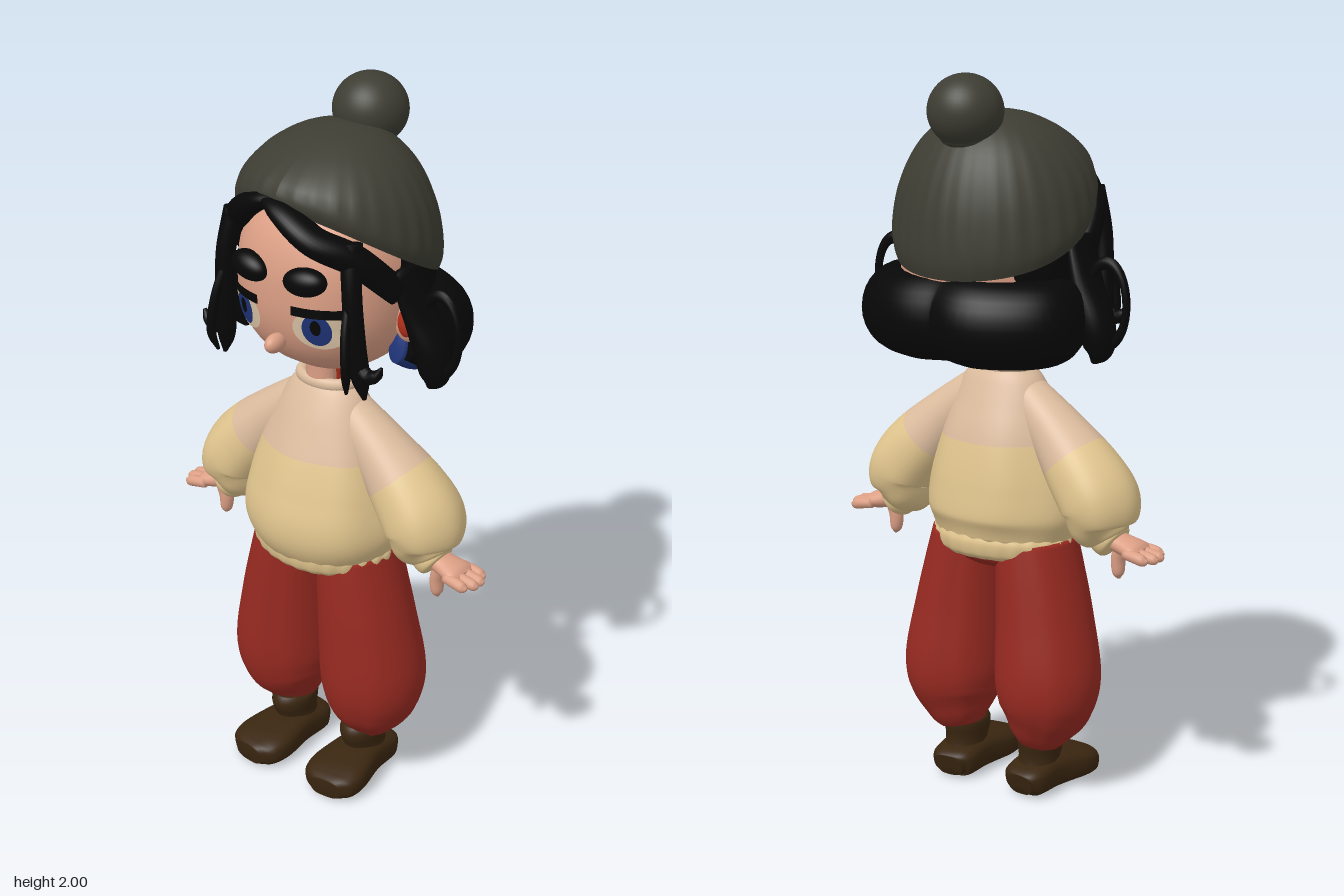
import * as THREE from 'three';

const mat = (name, color, side = THREE.FrontSide) => {
  const m = new THREE.MeshStandardMaterial({ color, side });
  m.name = name;
  return m;
};

export function createModel() {
  const root = new THREE.Group();
  root.name = 'child';
  const hatWool = mat('hat wool', 0x3d3d33, THREE.DoubleSide);
  const hairBlack = mat('hair black', 0x070707);
  const skin = mat('skin', 0xdc9f85);
  const cream = mat('sweater cream', 0xe1c58e);
  const blush = mat('sweater yoke', 0xdcbc9e);
  const red = mat('trouser red', 0x982a21);
  const brown = mat('boot brown', 0x3a2610);
  const blue = mat('deep blue', 0x20357a);
  const coral = mat('coral red', 0xb5301c);
  const eyeWhite = mat('eye white', 0xe0c8aa);

  const add = (name, geo, material, x = 0, y = 0, z = 0) => {
    const mesh = new THREE.Mesh(geo, material);
    mesh.name = name;
    mesh.position.set(x, y, z);
    root.add(mesh);
    return mesh;
  };

  // Smooth body through oval sections [x, y, z, a, b]; a lies across the path and ref.
  // A pair of materials changes over at the fraction "split".
  const sweep = (name, material, pts, { ref = [0, 0, 1], n = 28, steps = 8, pow = 2, split = 1, wave = () => 1 } = {}) => {
    const path = new THREE.CatmullRomCurve3(pts.map(p => new THREE.Vector3(p[0], p[1], p[2])), false, 'catmullrom');
    const size = new THREE.CatmullRomCurve3(pts.map(p => new THREE.Vector3(p[3], p[4], 0)), false, 'catmullrom');
    const rings = (pts.length - 1) * steps, pos = [], idx = [];
    const R = new THREE.Vector3(...ref);
    const sp = v => Math.sign(v) * Math.abs(v) ** (2 / pow);
    for (let i = 0; i <= rings; i++) {
      const t = i / rings, c = path.getPoint(t), r = size.getPoint(t);
      const T = path.getTangent(t), S = T.clone().cross(R).normalize(), B = S.clone().cross(T);
      for (let j = 0; j < n; j++) {
        const f = j / n * Math.PI * 2, w = wave(f, t);
        const p = c.clone().addScaledVector(S, Math.max(r.x, 0.002) * w * sp(Math.cos(f)))
          .addScaledVector(B, Math.max(r.y, 0.002) * w * sp(Math.sin(f)));
        pos.push(p.x, p.y, p.z);
      }
    }
    const first = pos.length / 3, last = first + 1, top = rings * n;
    pos.push(...path.getPoint(0).toArray(), ...path.getPoint(1).toArray());
    for (let j = 0; j < n; j++) idx.push(first, j, (j + 1) % n);
    for (let i = 0; i < rings; i++) for (let j = 0; j < n; j++) {
      const k = (j + 1) % n, a = i * n + j, b = a + n, c = i * n + k, d = c + n;
      idx.push(a, b, c, b, d, c);
    }
    for (let j = 0; j < n; j++) idx.push(last, top + (j + 1) % n, top + j);
    const g = new THREE.BufferGeometry();
    g.setAttribute('position', new THREE.Float32BufferAttribute(pos, 3));
    g.setIndex(idx);
    g.computeVertexNormals();
    if (Array.isArray(material)) {
      const cut = n * 3 + Math.round(rings * split) * n * 6;
      g.addGroup(0, cut, 0);
      g.addGroup(cut, idx.length - cut, 1);
    }
    return add(name, g, material);
  };

  // Ellipsoid, boxier as pow grows
  const blob = (name, material, x, y, z, rx, ry, rz, pow = 2) => {
    const g = new THREE.SphereGeometry(1, 40, 28), p = g.attributes.position, v = new THREE.Vector3();
    for (let i = 0; i < p.count; i++) {
      v.fromBufferAttribute(p, i);
      const k = (Math.abs(v.x) ** pow + Math.abs(v.y) ** pow + Math.abs(v.z) ** pow) ** (-1 / pow);
      p.setXYZ(i, v.x * k * rx, v.y * k * ry, v.z * k * rz);
    }
    g.computeVertexNormals();
    return add(name, g, material, x, y, z);
  };

  // Head, nose, neck and nape
  blob('head', skin, 0, 1.51, 0.01, 0.24, 0.26, 0.25, 2.4);
  blob('nose', skin, 0, 1.378, 0.262, 0.022, 0.026, 0.036);
  sweep('neckBack', coral, [[0, 1.15, 0.045, 0.048, 0.05], [0, 1.23, 0.035, 0.048, 0.055], [0, 1.36, 0.0, 0.09, 0.09]]);
  sweep('neckFront', skin, [[0, 1.15, 0.075, 0.044, 0.035], [0, 1.24, 0.075, 0.044, 0.035], [0, 1.32, 0.08, 0.044, 0.035]]);
  blob('nape', coral, 0, 1.35, -0.06, 0.17, 0.108, 0.13);

  // Thin face details laid over the curve of the head
  const drape = (name, geo, material, x, y, lift) => {
    geo.translate(x, y, 0);
    const p = geo.attributes.position;
    for (let i = 0; i < p.count; i++) {
      const u = Math.abs(p.getX(i) / 0.24) ** 2.4 + Math.abs((p.getY(i) - 1.51) / 0.26) ** 2.4;
      p.setZ(i, 0.01 + 0.25 * Math.max(0, 1 - u) ** (1 / 2.4) + lift);
    }
    geo.computeVertexNormals();
    add(name, geo, material);
  };
  const disc = (rx, ry) => new THREE.CircleGeometry(1, 32).scale(rx, ry, 1);

  for (const s of [1, -1]) {
    // Eyes, brows and ears
    drape('eyeWhite', disc(0.066, 0.055), eyeWhite, s * 0.12, 1.435, 0.006);
    drape('iris', disc(0.036, 0.046), blue, s * 0.118, 1.438, 0.008);
    drape('pupil', disc(0.013, 0.022), hairBlack, s * 0.118, 1.446, 0.0095);
    drape('upperLash', new THREE.PlaneGeometry(0.15, 0.026, 14, 1), hairBlack, s * 0.13, 1.486, 0.0095);
    const brow = blob('eyebrow', hairBlack, s * 0.09, 1.568, 0.25, 0.062, 0.038, 0.036);
    brow.rotation.set(0, s * 0.15, s * 0.12);
    blob('ear', skin, s * 0.25, 1.43, 0.03, 0.04, 0.06, 0.026);
    blob('innerEar', coral, s * 0.255, 1.43, 0.042, 0.025, 0.042, 0.02);

    // Hair hanging at the sides, with wire-thin loops
    sweep('sideLock', hairBlack, [[s * 0.242, 1.58, 0.04, 0.02, 0.06], [s * 0.28, 1.46, 0.02, 0.032, 0.06],
      [s * 0.315, 1.36, 0.01, 0.047, 0.055], [s * 0.325, 1.29, 0.01, 0.04, 0.04], [s * 0.31, 1.25, 0.01, 0.008, 0.01]]);
    const loop = add('hairLoop', new THREE.TorusGeometry(0.08, 0.013, 12, 40), hairBlack, s * 0.343, 1.41, 0.016);
    loop.scale.set(0.75, 1.35, 1);
    sweep('frontLock', hairBlack, [[s * 0.19, 1.68, 0.19, 0.03, 0.03], [s * 0.208, 1.56, 0.21, 0.026, 0.026],
      [s * 0.215, 1.42, 0.205, 0.028, 0.027], [s * 0.225, 1.32, 0.195, 0.026, 0.022], [s * 0.235, 1.26, 0.19, 0.005, 0.006]]);
    sweep('frontWisp', hairBlack, [[s * 0.2, 1.55, 0.21, 0.01, 0.012], [s * 0.215, 1.45, 0.245, 0.012, 0.014],
      [s * 0.225, 1.35, 0.255, 0.012, 0.014], [s * 0.215, 1.29, 0.24, 0.004, 0.005]], { n: 12 });
    sweep('curlTip', hairBlack, [[s * 0.21, 1.37, 0.2, 0.018, 0.018], [s * 0.25, 1.335, 0.2, 0.02, 0.02],
      [s * 0.28, 1.345, 0.2, 0.015, 0.018], [s * 0.296, 1.37, 0.2, 0.004, 0.005]], { n: 12 });
  }

  // Parted fringe under the hat rim
  sweep('fringeRight', hairBlack, [[0, 1.765, 0.22, 0.012, 0.03], [-0.07, 1.745, 0.23, 0.026, 0.035],
    [-0.15, 1.695, 0.205, 0.035, 0.035], [-0.21, 1.63, 0.15, 0.036, 0.035], [-0.245, 1.53, 0.07, 0.022, 0.035]]);
  sweep('fringeLeft', hairBlack, [[-0.045, 1.76, 0.225, 0.012, 0.03], [0.03, 1.735, 0.25, 0.03, 0.045],
    [0.12, 1.685, 0.25, 0.036, 0.045], [0.2, 1.63, 0.18, 0.04, 0.04], [0.25, 1.53, 0.08, 0.025, 0.04]]);

  // Hair over the skull, the roll at the nape and its blue lining
  blob('skullHair', hairBlack, 0, 1.52, -0.025, 0.252, 0.225, 0.205, 2.2);
  const roll = [[-0.25, 1.39, 0.03, 0.03, 0.07], [-0.258, 1.375, -0.05, 0.06, 0.105], [-0.225, 1.365, -0.13, 0.1, 0.115],
    [-0.1, 1.365, -0.2, 0.108, 0.118], [0, 1.37, -0.185, 0.105, 0.118], [0.11, 1.365, -0.188, 0.105, 0.118],
    [0.225, 1.365, -0.13, 0.1, 0.115], [0.258, 1.375, -0.05, 0.06, 0.105], [0.25, 1.39, 0.03, 0.03, 0.07]];
  sweep('hairRoll', hairBlack, roll, { ref: [0, 1, 0] });
  sweep('hairLining', blue, roll.map(([x, y, z, a, b]) => [x * 0.9, y - 0.035, z * 0.8 + 0.02, a * 0.85, b * 0.66]), { ref: [0, 1, 0] });

  // Knitted hat: a ribbed dome whose rim sweeps up to the front
  const dome = [[0.27, 0], [0.279, 0.1], [0.276, 0.25], [0.26, 0.45], [0.226, 0.65], [0.175, 0.82], [0.1, 0.95], [0, 1]];
  const curve = new THREE.SplineCurve(dome.map(p => new THREE.Vector2(...p)));
  const hat = new THREE.LatheGeometry(curve.getPoints(28).map(p => new THREE.Vector2(Math.max(0, p.x), p.y)), 120);
  const hp = hat.attributes.position;
  for (let i = 0; i < hp.count; i++) {
    const x = hp.getX(i), h = hp.getY(i), z = hp.getZ(i) * 0.91;
    const rib = 1 + 0.012 * Math.cos(30 * Math.atan2(x, z)) * (1 - h) * Math.min(1, h * 4);
    const rim = 1.575 + z * 0.54 + z * z * 0.56;
    hp.setXYZ(i, x * rib, 1.9 * h + rim * (1 - h), z * rib - 0.012 * h);
  }
  hat.computeVertexNormals();
  add('hat', hat, hatWool);
  blob('pompomBase', hatWool, 0, 1.84, -0.11, 0.08, 0.05, 0.085);
  blob('pompom', hatWool, 0, 1.903, -0.133, 0.101, 0.097, 0.1);

  // Sweater body with gathered hem and soft folds
  sweep('sweaterBody', [cream, blush], [[0, 0.725, 0.055, 0.205, 0.162], [0, 0.8, 0.06, 0.232, 0.19], [0, 0.9, 0.055, 0.22, 0.176],
    [0, 1.01, 0.05, 0.188, 0.147], [0, 1.1, 0.048, 0.152, 0.112], [0, 1.17, 0.045, 0.118, 0.08], [0, 1.205, 0.043, 0.085, 0.06]],
  { n: 64, split: 0.5, wave: (f, t) => 1 + 0.018 * Math.cos(7 * f + 1) * Math.sin(Math.PI * Math.min(1, t * 1.4)) });
  sweep('sweaterHem', cream, [[0, 0.685, 0.055, 0.195, 0.15], [0, 0.7, 0.055, 0.206, 0.163], [0, 0.73, 0.055, 0.212, 0.168],
    [0, 0.755, 0.055, 0.2, 0.16]], { n: 128, wave: f => 1 + 0.01 * Math.cos(26 * f) + 0.008 * Math.cos(5 * f) });
  const collar = add('collar', new THREE.TorusGeometry(0.075, 0.018, 14, 40).rotateX(Math.PI / 2), blush, 0, 1.205, 0.045);
  collar.scale.set(1.05, 1, 0.75);

  for (const s of [1, -1]) {
    // Puffed sleeve and cuff
    sweep('sleeve', [blush, cream], [[s * 0.07, 1.13, 0.045, 0.06, 0.06], [s * 0.18, 1.03, 0.04, 0.08, 0.085], [s * 0.265, 0.94, 0.035, 0.1, 0.11],
      [s * 0.32, 0.865, 0.034, 0.104, 0.12], [s * 0.328, 0.805, 0.035, 0.088, 0.1], [s * 0.35, 0.77, 0.037, 0.055, 0.062]],
    { n: 40, split: 0.32, wave: (f, t) => 1 + 0.025 * Math.cos(6 * f) * t });
    sweep('cuff', cream, [[s * 0.325, 0.795, 0.037, 0.05, 0.055], [s * 0.345, 0.775, 0.037, 0.055, 0.06],
      [s * 0.365, 0.76, 0.037, 0.05, 0.055], [s * 0.372, 0.755, 0.037, 0.03, 0.035]]);

    // Hand with four fingers and a lowered thumb
    sweep('palm', skin, [[s * 0.34, 0.775, 0.037, 0.028, 0.035], [s * 0.39, 0.76, 0.037, 0.027, 0.04],
      [s * 0.435, 0.75, 0.037, 0.023, 0.05], [s * 0.455, 0.745, 0.037, 0.012, 0.04]]);
    for (let i = 0; i < 4; i++) {
      const z = -0.005 + i * 0.028, tip = i === 0 || i === 3 ? 0.492 : 0.508;
      sweep('finger', skin, [[s * 0.42, 0.748, z, 0.014, 0.014], [s * 0.46, 0.742, z, 0.016, 0.016],
        [s * (tip - 0.012), 0.737, z, 0.014, 0.014], [s * tip, 0.737, z, 0.004, 0.004]], { n: 12, steps: 5 });
    }
    sweep('thumb', skin, [[s * 0.385, 0.755, 0.045, 0.02, 0.024], [s * 0.372, 0.715, 0.045, 0.02, 0.022],
      [s * 0.372, 0.675, 0.045, 0.016, 0.018], [s * 0.374, 0.658, 0.045, 0.004, 0.005]], { n: 14 });

    // Balloon trouser leg with lengthwise creases
    sweep('trouserLeg', red, [[s * 0.133, 0.145, 0.03, 0.062, 0.068], [s * 0.14, 0.185, 0.03, 0.092, 0.1], [s * 0.15, 0.25, 0.035, 0.13, 0.137],
      [s * 0.153, 0.34, 0.038, 0.146, 0.152], [s * 0.136, 0.5, 0.045, 0.132, 0.144], [s * 0.12, 0.62, 0.048, 0.118, 0.137],
      [s * 0.105, 0.72, 0.05, 0.106, 0.13]],
    { n: 64, wave: (f, t) => 1 - 0.035 * Math.abs(Math.cos(2 * f + Math.PI / 4)) ** 12 * Math.abs(Math.sin(f))
      - 0.015 * Math.cos(12 * f) * (1 - t) ** 4 });

    // Boot
    sweep('bootShaft', brown, [[s * 0.125, 0.03, 0.035, 0.064, 0.078], [s * 0.125, 0.09, 0.04, 0.054, 0.068],
      [s * 0.125, 0.135, 0.045, 0.058, 0.078], [s * 0.125, 0.155, 0.047, 0.056, 0.076], [s * 0.125, 0.162, 0.047, 0.045, 0.06]]);
    sweep('bootFoot', brown, [[s * 0.12, 0.035, -0.055, 0.038, 0.03], [s * 0.122, 0.042, -0.03, 0.064, 0.042], [s * 0.125, 0.05, 0.06, 0.07, 0.05],
      [s * 0.131, 0.045, 0.16, 0.088, 0.045], [s * 0.137, 0.038, 0.215, 0.08, 0.038], [s * 0.14, 0.034, 0.243, 0.045, 0.03]],
    { ref: [0, 1, 0], pow: 3 });
  }

  // Seat of the trousers
  sweep('trouserSeat', red, [[0, 0.65, 0.05, 0.14, 0.09], [0, 0.675, 0.05, 0.195, 0.122], [0, 0.72, 0.05, 0.2, 0.132], [0, 0.76, 0.05, 0.19, 0.13]]);
  return root;
}
